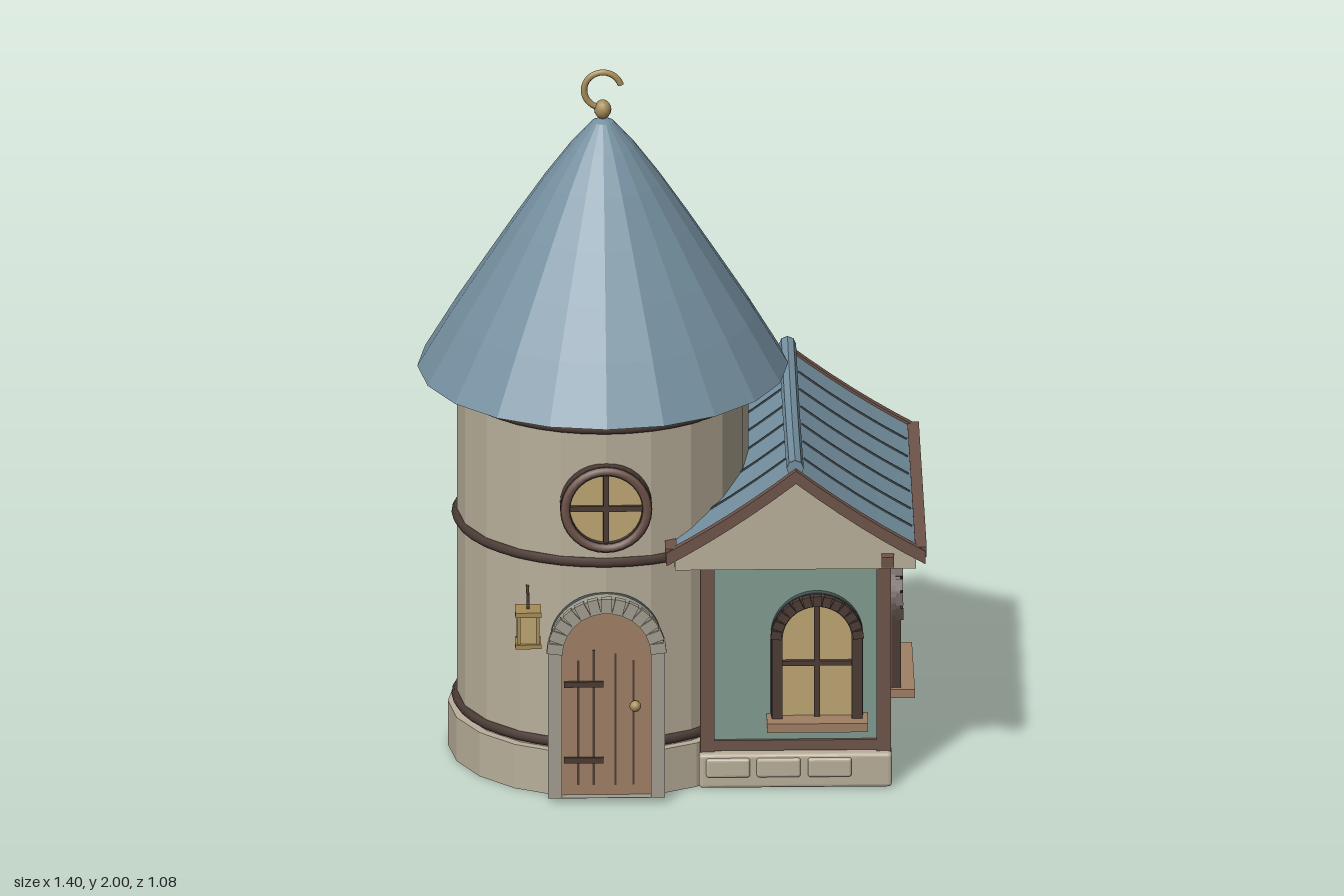
import * as THREE from 'three';
import { RoundedBoxGeometry } from 'three/addons/geometries/RoundedBoxGeometry.js';

const paint = (name, color, extra = {}) => {
  const m = new THREE.MeshStandardMaterial({ color, ...extra });
  m.name = name;
  return m;
};

export function createModel() {
  const roofBlue = paint('roofBlue', 0x7590a0, { flatShading: true, side: THREE.DoubleSide });
  const plaster = paint('plaster', 0xb9af9a, { flatShading: true });
  const green = paint('wallGreen', 0x819b90);
  const brown = paint('timberBrown', 0x6f544a);
  const dark = paint('darkTimber', 0x4c3c36);
  const wood = paint('doorWood', 0xa08064);
  const glass = paint('windowGlass', 0xbda672);
  const gold = paint('gold', 0xa68d58);
  const stone = paint('archStone', 0xa39d90);
  const slate = paint('slate', 0x465357);

  const model = new THREE.Group();
  model.name = 'towerCottage';

  const add = (parent, name, geo, mat, x = 0, y = 0, z = 0) => {
    const m = new THREE.Mesh(geo, mat);
    m.name = name;
    m.position.set(x, y, z);
    parent.add(m);
    return m;
  };
  // Box given by its limits on each axis
  const box = (parent, name, mat, [x0, x1], [y0, y1], [z0, z1]) =>
    add(parent, name, new THREE.BoxGeometry(x1 - x0, y1 - y0, z1 - z0), mat,
      (x0 + x1) / 2, (y0 + y1) / 2, (z0 + z1) / 2);
  const extrude = (shape, depth) =>
    new THREE.ExtrudeGeometry(shape, { depth, bevelEnabled: false, curveSegments: 16 });
  const group = (parent, name, x = 0, y = 0, z = 0) => {
    const g = new THREE.Group();
    g.name = name;
    g.position.set(x, y, z);
    parent.add(g);
    return g;
  };

  // Round-topped outline, r = half width, h = total height
  const trace = (p, r, h, y0 = 0) => {
    p.moveTo(-r, y0);
    p.lineTo(r, y0);
    p.lineTo(r, h - r);
    p.absarc(0, h - r, r, 0, Math.PI, false);
    p.lineTo(-r, y0);
    return p;
  };
  const archSolid = (r, h, depth) => extrude(trace(new THREE.Shape(), r, h), depth);
  const archFrame = (r, h, t, depth, y0 = 0) => {
    const s = trace(new THREE.Shape(), r, h);
    s.holes.push(trace(new THREE.Path(), r - t, h - t, y0 + 0.001));
    return extrude(s, depth);
  };
  // Row of blocks set around the curved part of an arch
  const archBlocks = (parent, name, mat, r, h, t, z, n) => {
    for (let i = 0; i < n; i++) {
      const a = (i + 0.5) / n * Math.PI, rm = r - t / 2;
      const b = add(parent, name, new THREE.BoxGeometry(t + 0.006, Math.PI * rm / n * 0.86, 0.02), mat,
        Math.cos(a) * rm, h - r + Math.sin(a) * rm, z);
      b.rotation.z = a;
    }
  };

  // ---- Tower ----
  const tower = group(model, 'tower', -0.19, 0, 0.02);
  add(tower, 'towerFoot', new THREE.CylinderGeometry(0.43, 0.43, 0.13, 20), plaster, 0, 0.065, 0);
  add(tower, 'towerWall', new THREE.CylinderGeometry(0.405, 0.405, 1.12, 20), plaster, 0, 0.66, 0);
  for (const y of [0.15, 0.69, 1.085]) {
    const ring = add(tower, 'towerRing', new THREE.TorusGeometry(0.406, 0.014, 6, 40), dark, 0, y, 0);
    ring.rotation.x = Math.PI / 2;
  }
  const cone = [[0.515, 1.125], [0.42, 1.285], [0.335, 1.418], [0.25, 1.55], [0.165, 1.677],
    [0.09, 1.779], [0.03, 1.847], [0, 1.86]].map(p => new THREE.Vector2(...p));
  add(tower, 'towerRoof', new THREE.LatheGeometry(cone, 20), roofBlue);

  // Finial with an open hook
  const ball = add(tower, 'finialBall', new THREE.SphereGeometry(0.024, 12, 8), gold, 0, 1.882, 0);
  ball.scale.y = 1.15;
  const hook = add(tower, 'finialHook', new THREE.TorusGeometry(0.052, 0.009, 8, 28, 4.3), gold, 0, 1.939, 0);
  hook.rotation.z = 0.3;

  // Round window
  const rose = group(tower, 'roundWindow', 0, 0.855, 0.36);
  const disc = add(rose, 'roundGlass', new THREE.CylinderGeometry(0.115, 0.115, 0.06, 32), glass, 0, 0, 0.025);
  disc.rotation.x = Math.PI / 2;
  const rim = new THREE.Shape().absarc(0, 0, 0.128, 0, Math.PI * 2);
  rim.holes.push(new THREE.Path().absarc(0, 0, 0.1, 0, Math.PI * 2));
  add(rose, 'roundFrame', extrude(rim, 0.06), dark, 0, 0, 0.01);
  add(rose, 'roundFrameBead', new THREE.TorusGeometry(0.114, 0.014, 6, 32), brown, 0, 0, 0.066);
  box(rose, 'roundBar', dark, [-0.1, 0.1], [-0.008, 0.008], [0.05, 0.064]);
  box(rose, 'roundBar', dark, [-0.008, 0.008], [-0.1, 0.1], [0.05, 0.064]);

  // Door
  const door = group(model, 'door', -0.19, 0.015, 0);
  add(door, 'doorBacking', archSolid(0.155, 0.585, 0.085), slate, 0, 0, 0.365);
  add(door, 'doorLeaf', archSolid(0.13, 0.56, 0.015), wood, 0, 0, 0.45);
  add(door, 'doorArch', archFrame(0.162, 0.59, 0.038, 0.045), stone, 0, 0, 0.446);
  archBlocks(door, 'doorArchBlock', stone, 0.163, 0.59, 0.038, 0.488, 13);
  for (const [x, top] of [[-0.078, 0.4], [-0.035, 0.43], [0.025, 0.42], [0.075, 0.4]])
    box(door, 'plankGroove', dark, [x - 0.003, x + 0.003], [0.03, top], [0.464, 0.467]);
  for (const y of [0.105, 0.33])
    box(door, 'hinge', dark, [-0.118, -0.008], [y - 0.008, y + 0.008], [0.464, 0.474]);
  add(door, 'doorKnob', new THREE.SphereGeometry(0.016, 12, 8), gold, 0.08, 0.268, 0.48);

  // Lantern on a bracket
  const lantern = group(model, 'lantern', -0.407, 0, 0.445);
  box(lantern, 'lanternGlass', glass, [-0.026, 0.026], [0.465, 0.55], [-0.026, 0.026]);
  box(lantern, 'lanternBase', gold, [-0.036, 0.036], [0.455, 0.467], [-0.036, 0.036]);
  box(lantern, 'lanternCap', gold, [-0.036, 0.036], [0.548, 0.562], [-0.036, 0.036]);
  for (const x of [-0.026, 0.026]) for (const z of [-0.026, 0.026])
    box(lantern, 'lanternPost', gold, [x - 0.005, x + 0.005], [0.46, 0.555], [z - 0.005, z + 0.005]);
  box(lantern, 'lanternRod', dark, [-0.004, 0.004], [0.56, 0.605], [-0.004, 0.004]);
  box(lantern, 'lanternBracket', dark, [-0.004, 0.004], [0.592, 0.6], [-0.1, 0.004]);

  // ---- House ----
  const house = group(model, 'house');
  add(house, 'houseFoot', new RoundedBoxGeometry(0.535, 0.1, 0.84, 2, 0.01), plaster, 0.337, 0.052, -0.03);
  box(house, 'houseWalls', green, [0.085, 0.59], [0.09, 0.7], [-0.435, 0.355]);
  for (const x of [0.093, 0.583]) for (const z of [-0.425, 0.347])
    box(house, 'cornerPost', brown, [x - 0.02, x + 0.02], [0.1, 0.68], [z - 0.02, z + 0.02]);
  box(house, 'frontTopBeam', brown, [0.075, 0.6], [0.65, 0.682], [0.34, 0.372]);
  box(house, 'frontBottomBeam', brown, [0.1, 0.58], [0.105, 0.135], [0.34, 0.365]);
  box(house, 'sideTopBeam', brown, [0.575, 0.61], [0.67, 0.7], [-0.44, 0.43]);
  for (const x of [0.15, 0.29, 0.432])
    add(house, 'footBlock', new RoundedBoxGeometry(0.122, 0.056, 0.03, 2, 0.008), plaster, x, 0.064, 0.385);

  // Gables
  const gable = new THREE.Shape([[-0.335, 0.648], [0.335, 0.648], [0.335, 0.71], [0.22, 0.78], [0.1, 0.862],
    [0, 0.935], [-0.1, 0.862], [-0.22, 0.78], [-0.335, 0.71]].map(p => new THREE.Vector2(...p)));
  add(house, 'backGable', extrude(gable, 0.075), plaster, 0.337, 0, -0.51);
  const front = add(house, 'frontGable', extrude(gable, 0.04), plaster, 0.337, 0.02, 0.36);
  front.scale.y = 0.98;

  // Curved roof section, swept along z
  const slopeAt = d => 0.96 - 0.79 * d + 0.33 * d * d;
  const band = (reach, lift, thick) => {
    const top = [], low = [];
    for (let i = -6; i <= 6; i++) {
      const d = i / 6 * reach, y = slopeAt(Math.abs(d)) + lift;
      top.push(new THREE.Vector2(d, y));
      low.unshift(new THREE.Vector2(d, y - thick));
    }
    return new THREE.Shape([...low, ...top]);
  };
  add(house, 'houseRoof', extrude(band(0.345, 0, 0.02), 0.95), roofBlue, 0.337, 0, -0.52);
  add(house, 'roofUnderside', extrude(band(0.34, -0.021, 0.012), 0.94), dark, 0.337, 0, -0.515);
  for (const z of [-0.54, 0.432])
    add(house, 'bargeBoard', extrude(band(0.36, 0.008, 0.038), 0.024), brown, 0.337, 0, z);
  for (const s of [-1, 1]) {
    const x = 0.337 + s * 0.347;
    box(house, 'eaveBoard', brown, [x - 0.016, x + 0.016], [0.708, 0.738], [-0.53, 0.45]);
    // Seams between the roof strips
    for (let i = 0; i < 6; i++) {
      const z = -0.39 + i * 0.136;
      for (let k = 0; k < 4; k++) {
        const d0 = 0.025 + k * 0.075, d1 = d0 + 0.075;
        const seam = add(house, 'roofSeam', new THREE.BoxGeometry(
          Math.hypot(d1 - d0, slopeAt(d1) - slopeAt(d0)), 0.006, 0.006), slate,
        0.337 + s * (d0 + d1) / 2, (slopeAt(d0) + slopeAt(d1)) / 2 + 0.001, z);
        seam.rotation.z = s * Math.atan2(slopeAt(d1) - slopeAt(d0), d1 - d0);
      }
    }
  }
  // Sagging ridge roll
  const ridge = new THREE.CatmullRomCurve3([[0.435, 0.968], [0.2, 0.953], [-0.05, 0.948], [-0.3, 0.958],
    [-0.52, 0.975]].map(([z, y]) => new THREE.Vector3(0.335, y, z)));
  add(house, 'ridgeRoll', new THREE.TubeGeometry(ridge, 16, 0.024, 8), roofBlue);
  for (const z of [0.435, -0.52])
    add(house, 'ridgeEnd', new THREE.CircleGeometry(0.024, 8), roofBlue, 0.335, z > 0 ? 0.968 : 0.975, z);

  // Arched windows
  const archWindow = (name, r, h) => {
    const w = group(house, name);
    add(w, 'windowBacking', archFrame(r, h, 0.03, 0.02), slate, 0, 0, -0.002);
    add(w, 'windowGlass', archSolid(r - 0.02, h - 0.02, 0.014), glass);
    add(w, 'windowFrame', archFrame(r - 0.002, h - 0.002, 0.03, 0.025), dark, 0, 0, 0.018);
    archBlocks(w, 'windowArchBlock', dark, r - 0.002, h - 0.002, 0.024, 0.04, 13);
    box(w, 'windowBar', dark, [-0.008, 0.008], [0, h - 0.025], [0.012, 0.026]);
    box(w, 'windowBar', dark, [-r + 0.025, r - 0.025], [0.157, 0.171], [0.012, 0.026]);
    box(w, 'windowSill', wood, [-r - 0.012, r + 0.012], [-0.02, 0.006], [-0.002, 0.082]);
    return w;
  };
  archWindow('frontWindow', 0.128, 0.37).position.set(0.397, 0.205, 0.357);
  const side = archWindow('sideWindow', 0.172, 0.375);
  side.position.set(0.592, 0.195, -0.035);
  side.rotation.y = Math.PI / 2;

  return model;
}
